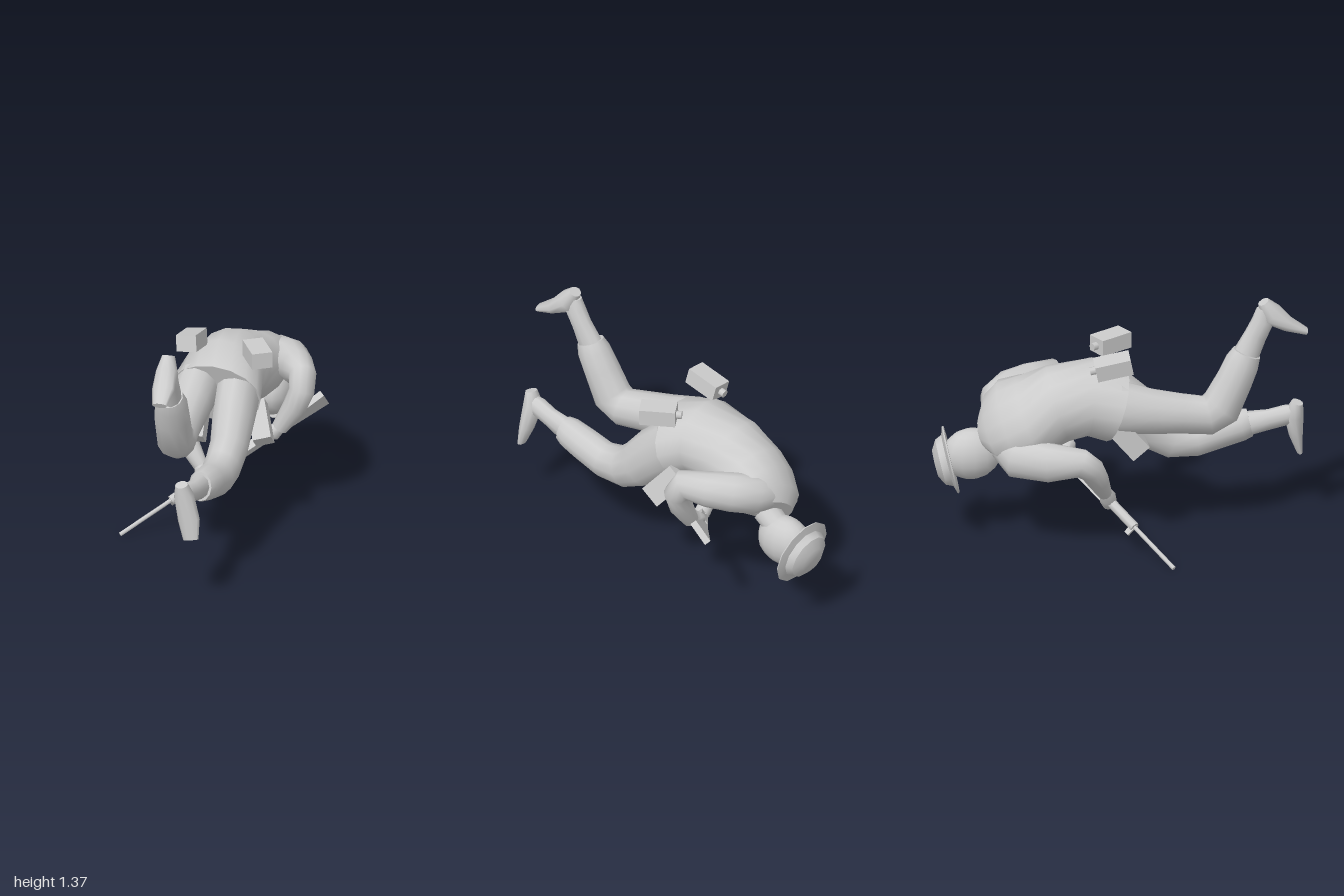
import * as THREE from 'three';
import { toCreasedNormals } from 'three/addons/utils/BufferGeometryUtils.js';

const grey = new THREE.MeshStandardMaterial({ color: 0xcccccc, side: THREE.DoubleSide });
grey.name = 'plain grey';

function add(parent, name, geometry, pos = [0, 0, 0], rot = [0, 0, 0]) {
  const mesh = new THREE.Mesh(geometry, grey);
  mesh.name = name;
  mesh.position.set(...pos);
  mesh.rotation.set(...rot);
  parent.add(mesh);
  return mesh;
}

// Skin over elliptical sections [x, y, z, halfWidth, halfDepth, roll]
function loft(sections, sides = 12) {
  const pos = [], index = [];
  const centres = sections.map(s => new THREE.Vector3(s[0], s[1], s[2]));
  const last = sections.length - 1;
  const rings = sections.map(([, , , a, b, roll = 0], i) => {
    const t = new THREE.Vector3();
    if (i > 0) t.add(centres[i].clone().sub(centres[i - 1]).normalize());
    if (i < last) t.add(centres[i + 1].clone().sub(centres[i]).normalize());
    t.normalize();
    const side = new THREE.Vector3(1, 0, 0).addScaledVector(t, -t.x).normalize();
    side.applyAxisAngle(t, roll);
    const up = t.clone().cross(side);
    return Array.from({ length: sides }, (_, j) => {
      const q = (j / sides) * Math.PI * 2;
      return centres[i].clone().addScaledVector(side, a * Math.cos(q)).addScaledVector(up, b * Math.sin(q));
    });
  });
  rings.forEach(r => r.forEach(p => pos.push(p.x, p.y, p.z)));
  for (let i = 0; i < last; i++) for (let j = 0; j < sides; j++) {
    const k = (j + 1) % sides, o = i * sides, n = o + sides;
    index.push(o + j, o + k, n + j, o + k, n + k, n + j);
  }
  // End caps with their own vertices
  [0, last].forEach(e => {
    const base = pos.length / 3, c = centres[e];
    pos.push(c.x, c.y, c.z);
    rings[e].forEach(p => pos.push(p.x, p.y, p.z));
    for (let j = 0; j < sides; j++) {
      const p = base + 1 + j, q = base + 1 + (j + 1) % sides;
      e === 0 ? index.push(base, q, p) : index.push(base, p, q);
    }
  });
  const g = new THREE.BufferGeometry();
  g.setAttribute('position', new THREE.Float32BufferAttribute(pos, 3));
  g.setIndex(index);
  g.computeVertexNormals();
  return g;
}

function makeRifle() {
  const rifle = new THREE.Group();
  rifle.name = 'rifle';
  const tube = (name, r, from, to) =>
    add(rifle, name, new THREE.CylinderGeometry(r, r, to - from, 8), [(from + to) / 2, 0, 0], [0, 0, Math.PI / 2]);
  tube('barrel', 0.012, 0, 0.5);
  tube('handguard', 0.027, 0.33, 0.62);
  add(rifle, 'frontLug', new THREE.BoxGeometry(0.03, 0.07, 0.016), [0.34, -0.02, 0]);
  add(rifle, 'receiver', new THREE.BoxGeometry(0.32, 0.055, 0.045), [0.72, 0, 0]);
  // Stock outline widening to the butt
  const outline = [[0.55, 0.025], [0.88, 0.028], [0.97, 0.015], [1.32, 0.065], [1.335, -0.07], [1.0, -0.042], [0.55, -0.033]];
  const shape = new THREE.Shape(outline.map(p => new THREE.Vector2(...p)));
  add(rifle, 'stock', new THREE.ExtrudeGeometry(shape, { depth: 0.036, bevelEnabled: false }), [0, 0, -0.018]);
  // Aim the local x axis from muzzle to butt
  const x = new THREE.Vector3(0.99, 0.61, -0.68).normalize();
  const z = x.clone().cross(new THREE.Vector3(0, 0.7, 0.7)).normalize();
  const y = z.clone().cross(x);
  rifle.quaternion.setFromRotationMatrix(new THREE.Matrix4().makeBasis(x, y, z));
  rifle.position.set(-0.495, 0.015, 0.195);
  return rifle;
}

export function createModel() {
  const model = new THREE.Group();
  model.name = 'crouchingSoldier';

  // Jacket, rolled so the left shoulder is higher
  add(model, 'jacket', loft([
    [-0.02, 0.79, -0.03, 0.25, 0.2],
    [-0.01, 0.84, -0.17, 0.225, 0.21, -0.1],
    [0.005, 0.81, -0.34, 0.215, 0.21, -0.25],
    [0.03, 0.74, -0.49, 0.24, 0.2, -0.5],
    [0.06, 0.705, -0.59, 0.245, 0.18, -0.55],
    [0.08, 0.67, -0.66, 0.21, 0.14, -0.55],
    [0.115, 0.64, -0.705, 0.12, 0.085, -0.4],
  ], 16));

  // Sleeves
  add(model, 'leftSleeve', loft([
    [0.1, 0.73, -0.65, 0.09, 0.09],
    [0.2, 0.765, -0.62, 0.105, 0.115],
    [0.28, 0.79, -0.54, 0.105, 0.11],
    [0.345, 0.8, -0.42, 0.09, 0.1],
    [0.395, 0.81, -0.31, 0.075, 0.085],
    [0.4, 0.74, -0.265, 0.07, 0.07],
    [0.36, 0.64, -0.265, 0.065, 0.065],
    [0.28, 0.51, -0.27, 0.045, 0.045],
  ]));
  add(model, 'rightSleeve', loft([
    [-0.01, 0.6, -0.635, 0.085, 0.09],
    [-0.11, 0.565, -0.575, 0.105, 0.12],
    [-0.195, 0.555, -0.42, 0.09, 0.11],
    [-0.26, 0.565, -0.26, 0.072, 0.08],
    [-0.255, 0.52, -0.205, 0.068, 0.07],
    [-0.2, 0.43, -0.16, 0.06, 0.06],
    [-0.12, 0.32, -0.11, 0.04, 0.04],
  ]));

  // Hands
  add(model, 'leftHand', loft([
    [0.29, 0.52, -0.27, 0.03, 0.03],
    [0.25, 0.49, -0.25, 0.045, 0.04],
    [0.21, 0.47, -0.25, 0.045, 0.05],
    [0.17, 0.45, -0.27, 0.025, 0.03],
  ], 8));
  add(model, 'rightHand', loft([
    [-0.13, 0.33, -0.11, 0.03, 0.03],
    [-0.1, 0.29, -0.09, 0.05, 0.045],
    [-0.07, 0.25, -0.08, 0.05, 0.045],
    [-0.06, 0.21, -0.08, 0.025, 0.025],
  ], 8));

  // Trouser legs
  add(model, 'rightTrouser', loft([
    [-0.12, 0.82, -0.05, 0.12, 0.15],
    [-0.13, 0.78, 0.14, 0.115, 0.125],
    [-0.13, 0.755, 0.3, 0.105, 0.11],
    [-0.125, 0.73, 0.45, 0.1, 0.11],
    [-0.125, 0.775, 0.525, 0.097, 0.118],
    [-0.125, 0.92, 0.595, 0.097, 0.1],
    [-0.12, 1.02, 0.64, 0.088, 0.095],
    [-0.12, 1.075, 0.665, 0.068, 0.08],
  ]));
  add(model, 'leftTrouser', loft([
    [0.1, 0.8, -0.05, 0.12, 0.16],
    [0.1, 0.7, 0.08, 0.115, 0.145],
    [0.1, 0.59, 0.19, 0.105, 0.13],
    [0.087, 0.52, 0.3, 0.1, 0.115],
    [0.08, 0.51, 0.43, 0.095, 0.1],
    [0.07, 0.55, 0.57, 0.09, 0.095],
    [0.06, 0.575, 0.67, 0.08, 0.09],
    [0.055, 0.585, 0.715, 0.062, 0.08],
  ]));

  // Boots: shaft and foot
  add(model, 'rightBootShaft', loft([
    [-0.115, 1.04, 0.65, 0.058, 0.075],
    [-0.11, 1.17, 0.715, 0.047, 0.062],
    [-0.11, 1.25, 0.755, 0.05, 0.06],
    [-0.11, 1.32, 0.765, 0.035, 0.045],
  ], 10));
  add(model, 'rightFoot', loft([
    [-0.11, 1.36, 0.757, 0.035, 0.032],
    [-0.11, 1.285, 0.8, 0.06, 0.065],
    [-0.11, 1.22, 0.89, 0.062, 0.04],
    [-0.11, 1.17, 0.99, 0.04, 0.018],
  ], 10));
  add(model, 'leftBootShaft', loft([
    [0.055, 0.58, 0.69, 0.056, 0.07],
    [0.033, 0.605, 0.82, 0.045, 0.057],
    [0.018, 0.63, 0.91, 0.048, 0.057],
    [0.012, 0.65, 0.97, 0.035, 0.04],
  ], 10));
  add(model, 'leftFoot', loft([
    [0.005, 0.705, 0.965, 0.035, 0.032],
    [0.015, 0.63, 0.945, 0.056, 0.055],
    [0.045, 0.5, 0.963, 0.06, 0.037],
    [0.06, 0.395, 0.985, 0.042, 0.016],
  ], 10));

  // Neck, head and brimmed helmet
  add(model, 'neck', loft([
    [0.12, 0.63, -0.65, 0.075, 0.075],
    [0.13, 0.57, -0.73, 0.07, 0.07],
    [0.135, 0.53, -0.8, 0.08, 0.08],
  ]));
  add(model, 'head', new THREE.SphereGeometry(1, 14, 10), [0.135, 0.497, -0.785]).scale.set(0.108, 0.143, 0.16);
  const profile = [[0, -0.01], [0.187, -0.014], [0.191, -0.006], [0.145, 0.008], [0.128, 0.045], [0.075, 0.076], [0, 0.08]];
  const helmetShape = new THREE.LatheGeometry(profile.map(p => new THREE.Vector2(...p)), 12);
  const helmet = add(model, 'helmet', toCreasedNormals(helmetShape, 0.5), [0.14, 0.466, -0.907]);
  helmet.quaternion.setFromUnitVectors(new THREE.Vector3(0, 1, 0), new THREE.Vector3(0.12, -0.23, -0.97).normalize());

  // Belt pouches at the front of the hips
  add(model, 'leftPouch', new THREE.BoxGeometry(0.1, 0.22, 0.125), [0.215, 0.625, -0.07], [-0.69, 0, 0.3]);
  add(model, 'rightPouch', new THREE.BoxGeometry(0.14, 0.21, 0.115), [-0.13, 0.645, 0.01], [-0.69, 0, 0]);

  // Canteens over the back, each with a cap
  [['leftCanteen', [0.212, 1.055, -0.012], [0, 0.48, 0]],
   ['rightCanteen', [-0.16, 1.075, -0.07], [-0.2, -0.1, 0.1]]].forEach(([name, pos, rot]) => {
    const canteen = new THREE.Group();
    canteen.name = name;
    canteen.position.set(...pos);
    canteen.rotation.set(...rot);
    add(canteen, 'canteenBody', new THREE.BoxGeometry(0.112, 0.09, 0.195));
    add(canteen, 'canteenCap', new THREE.CylinderGeometry(0.022, 0.022, 0.035, 8), [0, 0, -0.11], [Math.PI / 2, 0, 0]);
    model.add(canteen);
  });

  model.add(makeRifle());
  return model;
}
